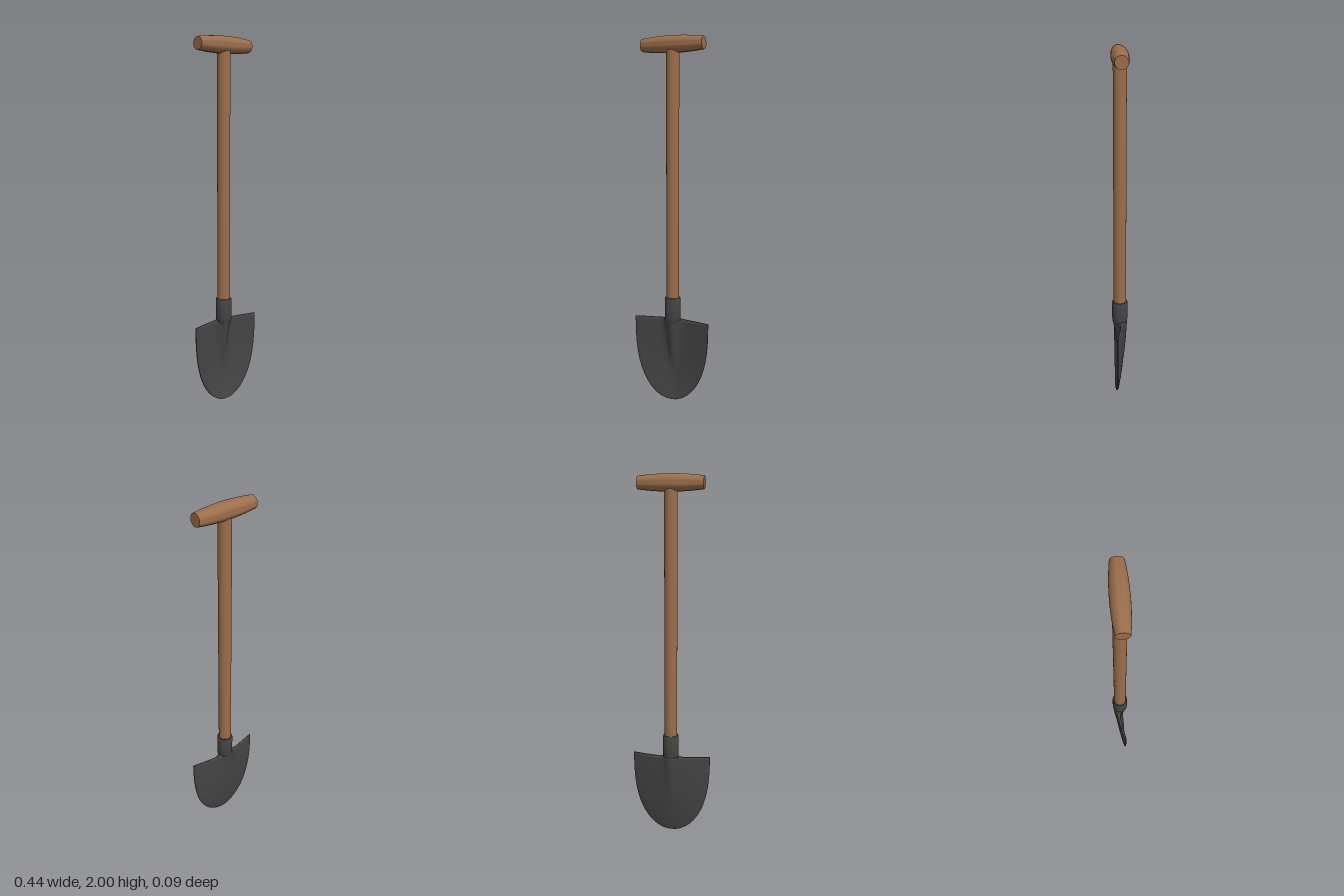
import * as THREE from 'three';
import { toCreasedNormals } from 'three/addons/utils/BufferGeometryUtils.js';

const wood = new THREE.MeshStandardMaterial({ color: 0x9c6e4c });
const metal = new THREE.MeshStandardMaterial({ color: 0x444444 });

// Turned part from [radius, height] pairs, listed from bottom to top
function turned(profile) {
  const points = profile.map(([r, y]) => new THREE.Vector2(r, y));
  return toCreasedNormals(new THREE.LatheGeometry(points, 32), 0.6);
}

// Dished blade with a central spine that fades out downward:
// closed cross-sections stacked from the straight top to the round tip
function bladeGeometry() {
  const height = 0.46, halfWidth = 0.22, dish = 0.04, halfThick = 0.008;
  const rows = 40, around = 128;
  const positions = [], indices = [];
  for (let i = 0; i <= rows + 2; i++) {
    // the first rows close and round the top edge
    const t = Math.sin((Math.max(0.2, i - 2) / rows) * Math.PI / 2);
    const y = height * (1 - [0, 0.002][i] || 1 - t);
    const w = halfWidth * Math.sqrt(Math.max(0, 1 - t ** 2.7));
    const depth = dish * (1 - t ** 3);
    const thick = halfThick * [0, 0.7, 1][Math.min(i, 2)] * Math.min(1, w / 0.03);
    const spine = Math.max(0, (height * (1 - t) - 0.17) / 0.29);
    for (let j = 0; j < around; j++) {
      const a = (j / around) * Math.PI * 2;
      const u = Math.cos(a), side = Math.sin(a);
      const bulge = spine * Math.exp(-((w * u / (0.015 + 0.025 * spine)) ** 2));
      const z = 0.021 - depth * (1 - Math.abs(u) ** 1.4)
        + thick * Math.sign(side) * Math.abs(side) ** 0.35
        + bulge * (i === 0 ? 0.019 : side > 0 ? 0.053 : -0.015);
      positions.push(w * u, i === rows + 2 ? 0 : y, z);
    }
  }
  for (let i = 0; i < rows + 2; i++) {
    for (let j = 0; j < around; j++) {
      const a = i * around + j, b = i * around + (j + 1) % around;
      indices.push(a, b, a + around, b, b + around, a + around);
    }
  }
  const geometry = new THREE.BufferGeometry();
  geometry.setAttribute('position', new THREE.Float32BufferAttribute(positions, 3));
  geometry.setIndex(indices);
  return toCreasedNormals(geometry, 0.8);
}

// Barrel-shaped grip with flat ends
function gripGeometry() {
  const half = 0.177, profile = [[0, -half]];
  for (let i = 0; i <= 16; i++) {
    const k = i / 8 - 1;
    profile.push([0.046 - 0.012 * k * k, k * half]);
  }
  profile.push([0, half]);
  return turned(profile).rotateZ(Math.PI / 2);
}

export function createModel() {
  const model = new THREE.Group();
  model.name = 'shovel';
  const add = (name, geometry, material, y = 0) => {
    const mesh = new THREE.Mesh(geometry, material);
    mesh.name = name;
    mesh.position.y = y;
    model.add(mesh);
  };
  // socket with a rounded rim, sunk into the top of the spine
  const socket = [[0, 0.4], [0.015, 0.4], [0.042, 0.455], [0.044, 0.48], [0.044, 0.576], [0.041, 0.584], [0.03, 0.584]];
  add('blade', bladeGeometry(), metal);
  add('socket', turned(socket), metal);
  add('shaft', new THREE.CylinderGeometry(0.035, 0.035, 1.4, 32), wood, 1.25);
  add('grip', gripGeometry(), wood, 1.954);
  return model;
}
